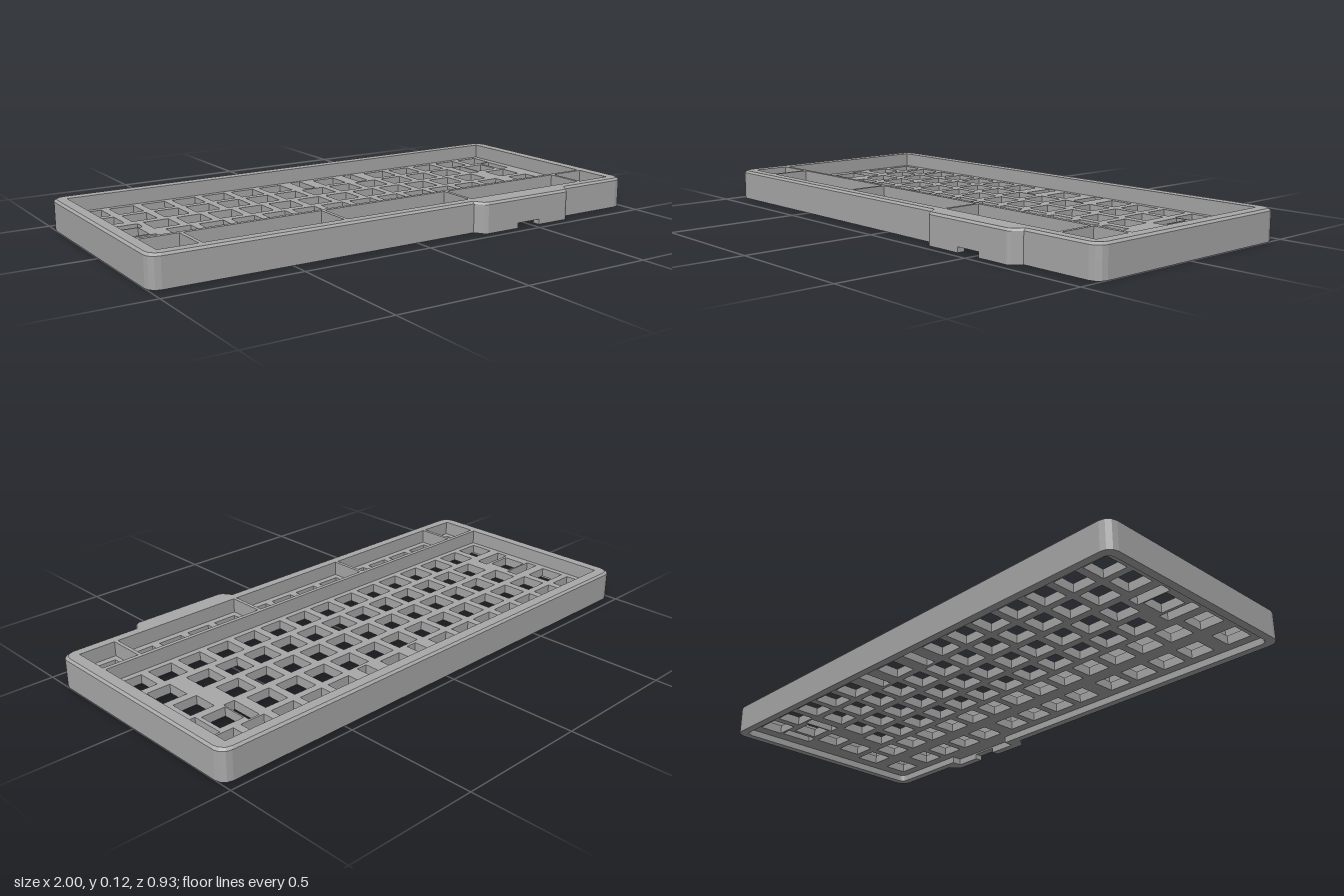
import * as THREE from 'three';

// Heights of the stacked layers
const NOTCH = 0.02, FLOOR = 0.026, PLATE = 0.06, BEVEL = 0.107, TOP = 0.115;
const U = 0.1256;          // key spacing
const HOLE = 0.095;        // switch opening

// Quarter-round corner points from angle a (degrees), run through 90 degrees
function corner(cx, cz, r, a, dir = 1) {
  return [0, 30, 60, 90].map((d) => {
    const t = THREE.MathUtils.degToRad(a + dir * d);
    return [cx + r * Math.cos(t), cz + r * Math.sin(t)];
  });
}

// Outer outline (x, z), starting and ending beside the cable notch in the front bulge
const outline = [
  [0.527, 0.465], [0.655, 0.465], [0.668, 0.458], [0.69, 0.425],
  ...corner(0.96, 0.385, 0.04, 90, -1),
  ...corner(0.96, -0.425, 0.04, 0, -1),
  ...corner(-0.96, -0.425, 0.04, -90, -1),
  ...corner(-0.96, 0.385, 0.04, 180, -1),
  [0.25, 0.425], [0.272, 0.458], [0.285, 0.465], [0.425, 0.465],
];

// Underside cavity, running the opposite way round
const cavity = [
  [0.425, 0.435], [0.31, 0.435], [0.31, 0.395],
  ...corner(-0.945, 0.37, 0.025, 90),
  ...corner(-0.945, -0.41, 0.025, 180),
  ...corner(0.945, -0.41, 0.025, 270),
  ...corner(0.945, 0.37, 0.025, 0),
  [0.63, 0.395], [0.63, 0.435], [0.527, 0.435],
];

const toPoints = (list) => list.map(([x, z]) => new THREE.Vector2(x, z));
const rect = (x0, x1, z0, z1) => [[x0, z0], [x1, z0], [x1, z1], [x0, z1]];
const square = (x, z) => rect(x - HOLE / 2, x + HOLE / 2, z - HOLE / 2, z + HOLE / 2);

// Horizontal slab between two heights, cut by holes
function slab(points, holes, y0, y1) {
  const shape = new THREE.Shape(toPoints(points));
  shape.holes = holes.map((h) => new THREE.Path(toPoints(h)));
  const geo = new THREE.ExtrudeGeometry(shape, { depth: y1 - y0, bevelEnabled: false });
  geo.rotateX(Math.PI / 2);
  geo.translate(0, y1, 0);
  return geo;
}

// Switch openings and stabiliser slots
function keyHoles() {
  const holes = [];
  const row = (x, z, count, skip = []) => {
    for (let i = 0; i < count; i++) {
      if (!skip.includes(i)) holes.push(square(x + i * U, z));
    }
  };
  const left = -0.883;
  row(left, -0.35, 15, [7, 9]);
  row(left, -0.227, 13);
  row(0.811, -0.227, 1);
  row(-0.728, -0.1, 12);
  row(0.83, -0.1, 1);
  row(-0.699, 0.026, 12);
  row(0.846, 0.026, 1);
  row(-0.868, -0.041, 1);
  row(left, 0.152, 15);
  // Front row: single, three groups of four, single
  row(left, 0.309, 1);
  for (const x of [-0.729, -0.194, 0.341]) row(x, 0.309, 4);
  row(left + 14 * U, 0.309, 1);
  // Stabiliser slots
  for (const x of [-0.004, 0.247]) holes.push(rect(x - 0.022, x + 0.022, -0.414, -0.288));
  for (const x of [0.736, 0.896]) holes.push(rect(x - 0.022, x + 0.022, -0.294, -0.166));
  for (const z of [-0.117, 0.042]) holes.push(rect(-0.934, -0.801, z - 0.023, z + 0.023));
  return holes;
}

export function createModel() {
  const group = new THREE.Group();
  group.name = 'keyboardCase';
  const grey = new THREE.MeshStandardMaterial({ color: 0xa8a8a8 });
  grey.name = 'caseGrey';
  const add = (name, geo) => {
    const mesh = new THREE.Mesh(geo, grey);
    mesh.name = name;
    group.add(mesh);
  };

  // Skirt: open ring broken by the cable notch, then a closed ring above it
  add('lowerSkirt', slab([...outline, ...cavity], [], 0, NOTCH));
  add('upperSkirt', slab(outline, [cavity], NOTCH, FLOOR));

  // Switch plate
  add('switchPlate', slab(outline, keyHoles(), FLOOR, PLATE));

  // Rim and dividers around the key pockets
  const pockets = [rect(-0.954, 0.95, -0.42, 0.222)];
  const edges = [-0.954, -0.806, -0.27, 0.266, 0.802, 0.95];
  for (let i = 0; i < 5; i++) {
    const x0 = edges[i] + (i > 0 ? 0.007 : 0);
    const x1 = edges[i + 1] - (i < 4 ? 0.007 : 0);
    pockets.push(rect(x0, x1, 0.238, 0.382));
  }
  add('rim', slab(outline, pockets, PLATE, BEVEL));

  // Chamfered top edge: draw the outer top vertices inward
  const cap = slab(outline, pockets, BEVEL, TOP);
  const pos = cap.attributes.position;
  const inset = TOP - BEVEL;
  for (let i = 0; i < pos.count; i++) {
    if (pos.getY(i) < TOP - 0.001) continue;
    const x = pos.getX(i), z = pos.getZ(i);
    if (Math.abs(x) > 0.958) pos.setX(i, x - Math.sign(x) * inset);
    if (z < -0.424 || z > 0.384) pos.setZ(i, z - Math.sign(z) * inset);
  }
  cap.computeVertexNormals();
  add('rimChamfer', cap);

  return group;
}
